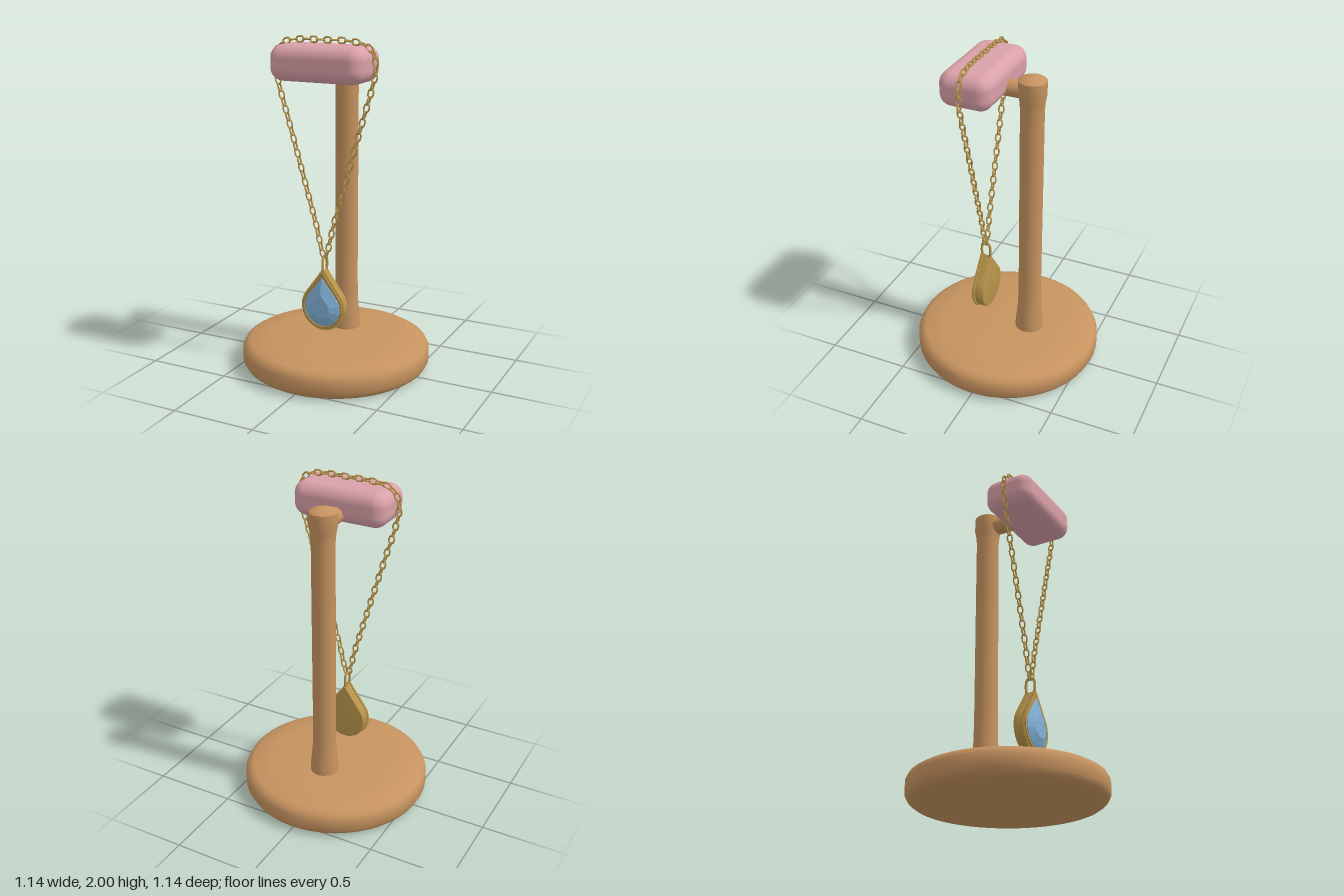
import * as THREE from 'three';
import { mergeGeometries, toCreasedNormals } from 'three/addons/utils/BufferGeometryUtils.js';
import { RoundedBoxGeometry } from 'three/addons/geometries/RoundedBoxGeometry.js';

const material = (name, color) => Object.assign(new THREE.MeshStandardMaterial({ color }), { name });
const V2 = (x, y) => new THREE.Vector2(x, y);

// Teardrop outline around the origin: tip first, then the round belly counter-clockwise
function dropPoints(r, tip, n) {
  const a0 = Math.acos(r / tip);
  const pts = [V2(0, tip)];
  for (let i = 0; i <= n; i++) {
    const a = Math.PI / 2 + a0 + (i / n) * (2 * Math.PI - 2 * a0);
    pts.push(V2(r * Math.cos(a), r * Math.sin(a)));
  }
  return pts;
}

function extrudeDrop(shape, z0, z1, bevel) {
  const geo = new THREE.ExtrudeGeometry(shape, {
    depth: z1 - z0 - 2 * bevel, bevelEnabled: bevel > 0, bevelSize: bevel,
    bevelThickness: bevel, bevelOffset: -bevel, bevelSegments: 2,
  });
  geo.translate(0, 0, z0 + bevel);
  return toCreasedNormals(geo, 0.6);
}

// Cut stone: girdle ring, table ring and a flat table, with hard facets
function gemGeometry() {
  const n = 10;
  const rings = [[0.119, 0.193, 0.178], [0.113, 0.184, 0.189], [0.06, 0.088, 0.214]];
  const pos = [], index = [], count = n + 2;
  for (const [r, tip, z] of rings)
    for (const p of dropPoints(r, tip, n)) pos.push(p.x, p.y, z);
  pos.push(0, 0, 0.214);
  for (let i = 0; i < count; i++) {
    const j = (i + 1) % count;
    for (let k = 0; k < 2; k++) {
      const a = k * count + i, b = k * count + j;
      index.push(a, b, b + count, a, b + count, a + count);
    }
    index.push(2 * count + i, 2 * count + j, 3 * count);
  }
  const geo = new THREE.BufferGeometry();
  geo.setAttribute('position', new THREE.Float32BufferAttribute(pos, 3));
  geo.setIndex(index);
  const flat = geo.toNonIndexed();
  flat.computeVertexNormals();
  return flat;
}

// Oval ring lying in the xy plane, long along x
function ovalRing(halfLength, halfWidth, wire, sides, steps) {
  const r = halfWidth - wire, stretch = halfLength - halfWidth;
  const geo = new THREE.TorusGeometry(r, wire, sides, steps);
  const p = geo.attributes.position;
  for (let i = 0; i < p.count; i++) {
    const c = Math.cos((Math.floor(i % (steps + 1)) / steps) * Math.PI * 2);
    p.setX(i, p.getX(i) + stretch * Math.max(-1, Math.min(1, c * 2)));
  }
  geo.computeVertexNormals();
  return geo;
}

export function createModel() {
  const wood = material('wood', 0xc6935f);
  const velvet = material('pink velvet', 0xd9a0a8);
  const gold = material('gold', 0xb8944c);
  const blue = material('blue stone', 0x82b2da);
  const model = new THREE.Group();
  model.name = 'necklaceStand';
  const add = (name, geo, mat, parent = model) => {
    const mesh = new THREE.Mesh(geo, mat);
    mesh.name = name;
    parent.add(mesh);
    return mesh;
  };
  const lathe = (pts, sides) => toCreasedNormals(
    new THREE.LatheGeometry(pts.map(([x, y]) => V2(x, y)), sides), 0.75);

  // Wooden stand
  add('base', lathe([[0, 0], [0.53, 0], [0.555, 0.018], [0.57, 0.045], [0.57, 0.115], [0.555, 0.145],
    [0.525, 0.163], [0.4, 0.177], [0.22, 0.187], [0, 0.19]], 64), wood);
  add('post', lathe([[0, 0.17], [0.087, 0.17], [0.086, 0.22], [0.078, 0.3], [0.072, 0.37], [0.069, 0.5],
    [0.069, 1.7], [0.073, 1.75], [0.081, 1.79], [0.081, 1.873], [0.07, 1.882], [0.035, 1.895], [0, 1.9]], 32),
    wood).position.z = -0.147;
  const arm = add('arm', new THREE.CylinderGeometry(0.05, 0.05, 0.2, 24), wood);
  arm.rotation.x = Math.PI / 2;
  arm.position.set(0, 1.806, -0.04);

  // Padded display cushion
  add('cushion', new RoundedBoxGeometry(0.58, 0.205, 0.312, 6, 0.075), velvet).position.set(0, 1.853, 0.145);

  // Chain: links strung along a closed loop, every second one turned a quarter
  const half = [[0.06, 0.925], [0.15, 1.235], [0.23, 1.51], [0.295, 1.73], [0.315, 1.83], [0.302, 1.915],
    [0.25, 1.962], [0.16, 1.979]];
  const loop = [[0, 0.72], ...half, [0, 1.981], ...half.map(([x, y]) => [-x, y]).reverse()];
  const path = new THREE.CatmullRomCurve3(loop.map(([x, y]) => new THREE.Vector3(x, y, 0.148)), true);
  const link = ovalRing(0.029, 0.021, 0.0052, 6, 16);
  const links = [], count = 72, zAxis = new THREE.Vector3(0, 0, 1);
  for (let i = 0; i < count; i++) {
    const u = (i + 0.5) / count;
    const t = path.getTangentAt(u);
    const n = new THREE.Vector3().crossVectors(zAxis, t);
    const m = i % 2 ? new THREE.Matrix4().makeBasis(t, n, zAxis)
      : new THREE.Matrix4().makeBasis(t, zAxis, n.clone().negate());
    links.push(link.clone().applyMatrix4(m.setPosition(path.getPointAt(u))));
  }
  add('chain', mergeGeometries(links), gold);

  // Pendant
  const pendant = new THREE.Group();
  pendant.name = 'pendant';
  pendant.position.y = 0.41;
  model.add(pendant);
  const bail = add('bail', ovalRing(0.058, 0.037, 0.008, 8, 28), gold, pendant);
  bail.rotation.set(0, Math.PI / 2, Math.PI / 2, 'YXZ');
  bail.position.set(0, 0.262, 0.148);

  const outline = new THREE.Shape(dropPoints(0.134, 0.228, 40));
  add('setting', extrudeDrop(outline, 0.11, 0.18, 0.005), gold, pendant);
  const rim = new THREE.Shape(dropPoints(0.131, 0.222, 40));
  rim.holes.push(new THREE.Path(dropPoints(0.117, 0.19, 40)));
  add('rim', extrudeDrop(rim, 0.178, 0.188, 0), gold, pendant);
  add('stone', gemGeometry(), blue, pendant);

  // Beaded edge around the setting
  outline.closePath();
  const beads = outline.getSpacedPoints(64).slice(0, -1).map((p) =>
    new THREE.SphereGeometry(0.0085, 8, 6).translate(p.x * 1.01, p.y * 1.01, 0.172));
  add('beadedEdge', mergeGeometries(beads), gold, pendant);

  return model;
}
